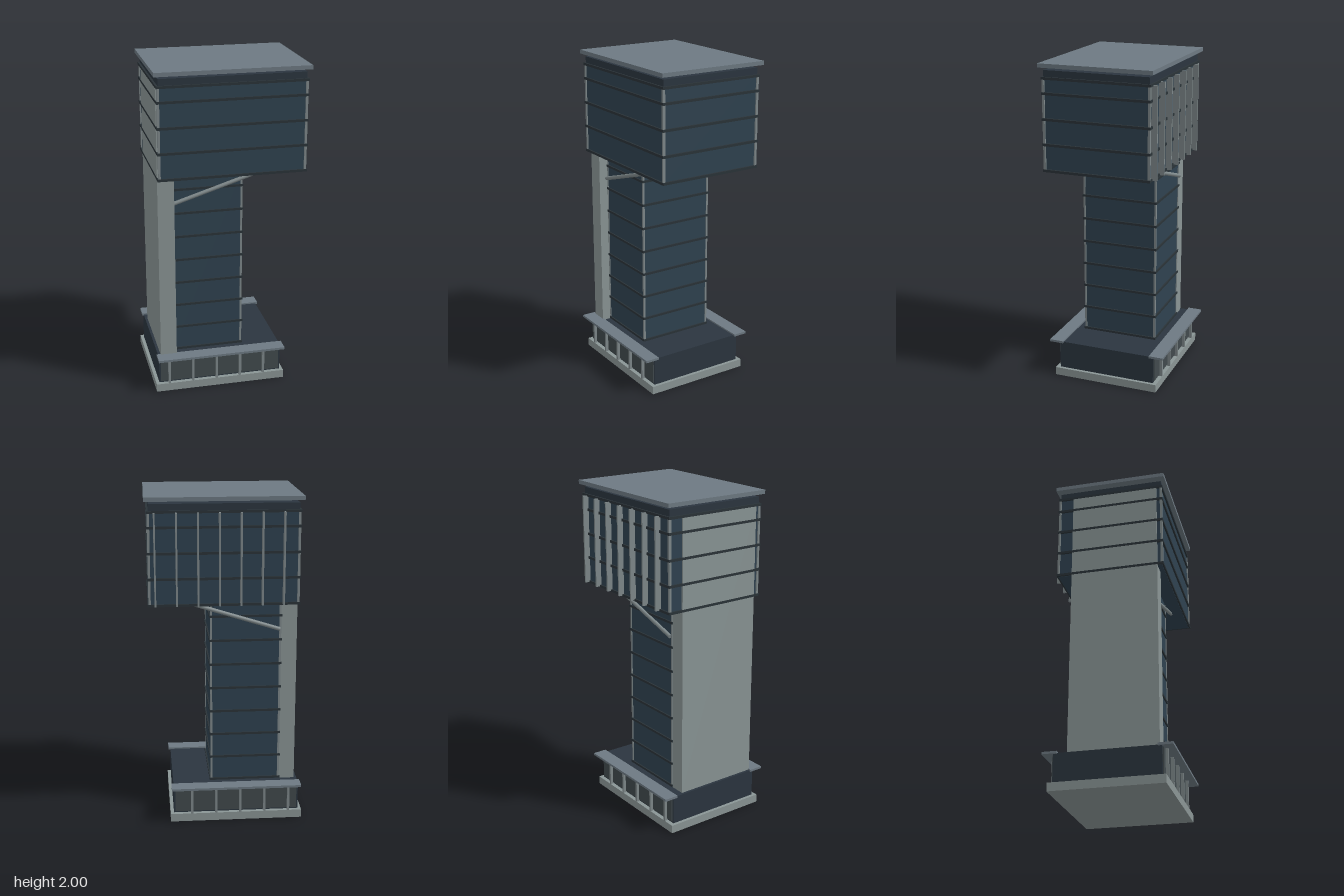
import * as THREE from 'three';

const mat = (color) => new THREE.MeshStandardMaterial({ color });

export function createModel() {
  const model = new THREE.Group();
  const glass = mat(0x2f4250), concrete = mat(0x8a9595), roof = mat(0x6d7982);
  const band = mat(0x2a3338), metal = mat(0x7e888a), dark = mat(0x2b353f), shopGlass = mat(0x414a4d);

  // Box given by its lower and upper limits on each axis
  function box(parent, name, material, [x0, x1], [y0, y1], [z0, z1]) {
    const mesh = new THREE.Mesh(new THREE.BoxGeometry(x1 - x0, y1 - y0, z1 - z0), material);
    mesh.position.set((x0 + x1) / 2, (y0 + y1) / 2, (z0 + z1) / 2);
    mesh.name = name;
    parent.add(mesh);
    return mesh;
  }
  function group(name) {
    const g = new THREE.Group();
    g.name = name;
    model.add(g);
    return g;
  }
  // Thin floor bands running round a block
  function bands(parent, levels, height, x, z) {
    for (const y of levels) box(parent, 'floorBand', band, x, [y - height / 2, y + height / 2], z);
  }
  // Slim posts on the four corners of a block
  function cornerPosts(parent, xs, y, zs, r) {
    for (const x of xs) for (const z of zs)
      box(parent, 'cornerPost', metal, [x - r, x + r], y, [z - r, z + r]);
  }

  // Podium: plinth, dark block, glazed sides with mullions and canopies
  const podium = group('podium');
  box(podium, 'plinth', concrete, [-0.47, 0.34], [0, 0.05], [-0.335, 0.335]);
  box(podium, 'podiumBlock', dark, [-0.45, 0.32], [0.05, 0.225], [-0.31, 0.31]);
  for (const s of [-1, 1]) {
    const span = (a, b) => [Math.min(a * s, b * s), Math.max(a * s, b * s)];
    box(podium, 'shopWindow', shopGlass, [-0.44, 0.31], [0.06, 0.215], span(0.305, 0.317));
    for (let i = 0; i < 5; i++) {
      const x = -0.388 + i * 0.149;
      box(podium, 'podiumMullion', metal, [x - 0.007, x + 0.007], [0.05, 0.222], span(0.31, 0.334));
    }
    box(podium, 'canopy', roof, [-0.46, 0.333], [0.22, 0.234], span(0.287, 0.375));
  }

  // Service core: plain slab rising along the right side
  box(model, 'serviceCore', concrete, [-0.434, -0.335], [0.22, 1.91], [-0.235, 0.295]);

  // Shaft with floor bands
  const shaft = group('shaft');
  box(shaft, 'shaftGlass', glass, [-0.338, 0.084], [0.22, 1.37], [-0.235, 0.235]);
  bands(shaft, Array.from({ length: 8 }, (_, i) => 0.236 + i * 0.1488), 0.014, [-0.343, 0.093], [-0.243, 0.243]);
  cornerPosts(shaft, [-0.333, 0.082], [0.23, 1.36], [-0.233, 0.233], 0.006);

  // Overhanging head block
  const head = group('head');
  box(head, 'headGlass', glass, [-0.424, 0.442], [1.362, 1.92], [-0.32, 0.323]);
  bands(head, [1.372, 1.527, 1.676, 1.826, 1.914], 0.015, [-0.435, 0.455], [-0.33, 0.333]);
  cornerPosts(head, [-0.424, 0.443], [1.37, 1.91], [-0.32, 0.323], 0.007);
  // Upright fins on the back
  for (let i = 0; i < 7; i++) {
    const x = -0.336 + i * 0.1243;
    box(head, 'backFin', metal, [x - 0.005, x + 0.005], [1.37, 1.912], [-0.356, -0.318]);
  }
  box(head, 'parapet', dark, [-0.423, 0.443], [1.918, 1.96], [-0.32, 0.323]);
  box(head, 'roofSlab', roof, [-0.449, 0.468], [1.976, 2], [-0.346, 0.346]);

  // Sloping struts carrying the overhang
  const dx = 0.56, dy = 0.176;
  for (const z of [-0.246, 0, 0.246]) {
    const strut = new THREE.Mesh(new THREE.CylinderGeometry(0.012, 0.012, Math.hypot(dx, dy), 12), metal);
    strut.position.set(-0.33 + dx / 2, 1.195 + dy / 2, z);
    strut.rotation.z = Math.atan2(dy, dx) - Math.PI / 2;
    strut.name = 'strut';
    model.add(strut);
  }
  return model;
}
